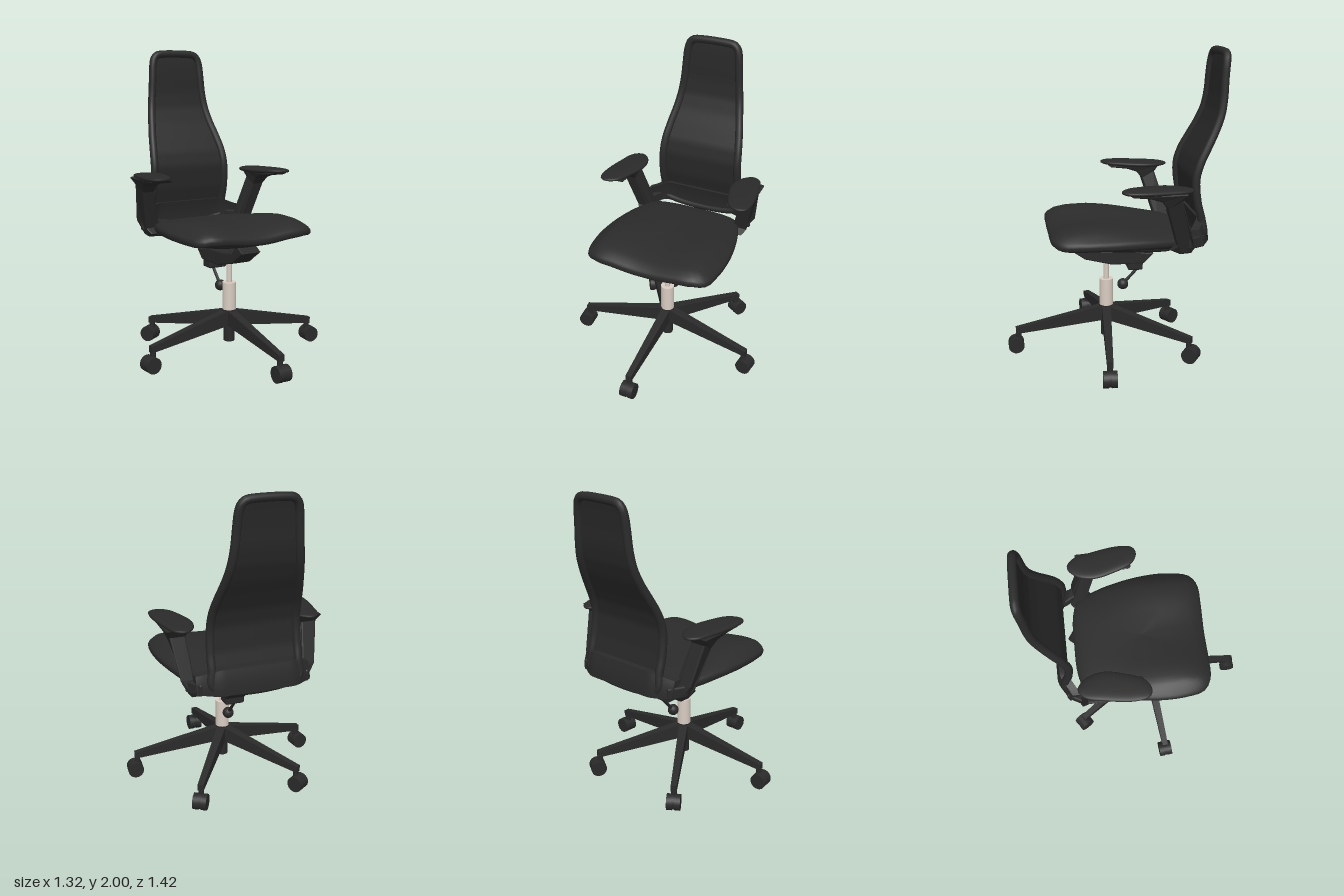
import * as THREE from 'three';
import { RoundedBoxGeometry } from 'three/addons/geometries/RoundedBoxGeometry.js';

const { lerp, clamp, smoothstep, degToRad } = THREE.MathUtils;

const mat = (name, color, side = THREE.FrontSide) => {
  const m = new THREE.MeshStandardMaterial({ color, side });
  m.name = name;
  return m;
};

// linear interpolation in rows of [key, value, value...], keys ascending
function lookup(rows, k, col = 1) {
  let i = 1;
  while (i < rows.length - 1 && k > rows[i][0]) i++;
  const [a, b] = [rows[i - 1], rows[i]];
  return lerp(a[col], b[col], clamp((k - a[0]) / (b[0] - a[0]), 0, 1));
}

// apply fn(vector) to every vertex
function warp(geo, fn) {
  const p = geo.attributes.position, v = new THREE.Vector3();
  for (let i = 0; i < p.count; i++) {
    fn(v.fromBufferAttribute(p, i));
    p.setXYZ(i, v.x, v.y, v.z);
  }
  geo.computeVertexNormals();
  return geo;
}

// copy of a geometry reflected in x, with its faces turned back outwards
function mirrored(geo) {
  const g = geo.index ? geo.toNonIndexed() : geo.clone();
  for (const key of ['position', 'normal']) {
    const a = g.attributes[key];
    for (let i = 0; i < a.count; i += 3) {
      const t = [0, 2, 1].map(k => [-a.getX(i + k), a.getY(i + k), a.getZ(i + k)]);
      t.forEach((q, k) => a.setXYZ(i + k, ...q));
    }
  }
  return g;
}

// cushion-like solid: outline in plan (anticlockwise from above), rim height, thickness above and below the rim
function padGeometry(outline, cx, cz, mid, up, down, rows = 28, cols = 80) {
  const curve = new THREE.CatmullRomCurve3(outline.map(([x, z]) => new THREE.Vector3(x, 0, z)), true);
  const rim = curve.getSpacedPoints(cols), pos = [], idx = [];
  for (let k = 0; k <= rows; k++) {
    const a = k / rows * Math.PI, c = Math.cos(a);
    const s = Math.pow(Math.max(Math.sin(a), 0), 0.6), v = Math.sign(c) * Math.pow(Math.abs(c), 0.75);
    for (let j = 0; j < cols; j++) {
      const x = cx + (rim[j].x - cx) * s, z = cz + (rim[j].z - cz) * s;
      pos.push(x, mid(x, z) + (v > 0 ? up : down) * v, z);
      if (k < rows) {
        const n = (j + 1) % cols, p = k * cols, q = p + cols;
        idx.push(p + j, q + j, q + n, p + j, q + n, p + n);
      }
    }
  }
  const g = new THREE.BufferGeometry();
  g.setAttribute('position', new THREE.Float32BufferAttribute(pos, 3));
  g.setIndex(idx);
  g.computeVertexNormals();
  return g;
}

// side profile of [z, y] points extruded across x
function profileGeometry(points, width, bevel = 0.008) {
  const shape = new THREE.Shape(points.map(([z, y]) => new THREE.Vector2(z, y)));
  const g = new THREE.ExtrudeGeometry(shape, {
    depth: width - 2 * bevel, bevelSize: bevel, bevelThickness: bevel, bevelOffset: -bevel, bevelSegments: 2 });
  return g.rotateY(-Math.PI / 2).translate(width / 2 - bevel, 0, 0);
}

export function createModel() {
  const black = mat('black plastic', 0x2a2a2a);
  const fabric = mat('seat fabric', 0x2b2b2b);
  const net = mat('back mesh', 0x282828, THREE.DoubleSide);
  const steel = mat('light metal', 0xdacdc2);
  const root = new THREE.Group();
  root.name = 'officeChair';
  const add = (name, geo, m = black, parent = root) => {
    const mesh = new THREE.Mesh(geo, m);
    mesh.name = name;
    parent.add(mesh);
  };
  const cyl = (r0, r1, y0, y1, n = 32) => new THREE.CylinderGeometry(r1, r0, y1 - y0, n).translate(0, (y0 + y1) / 2, 0);

  // five-legged base with twin-wheel casters
  const base = new THREE.Group();
  base.name = 'base';
  base.position.z = 0.053;
  root.add(base);
  add('hub', cyl(0.042, 0.046, 0.19, 0.305), black, base);
  add('hubTube', cyl(0.036, 0.036, 0.09, 0.2), black, base);
  add('gasColumn', cyl(0.045, 0.045, 0.3, 0.487), steel, base);
  add('pistonRod', cyl(0.018, 0.018, 0.48, 0.62), steel, base);
  for (const deg of [0, 84, 146.5, -146.5, -84]) {
    const leg = new THREE.Group();
    leg.name = 'leg';
    leg.rotation.y = degToRad(deg);
    base.add(leg);
    add('legBeam', warp(new THREE.BoxGeometry(1, 1, 1), v => {
      const t = v.z + 0.5, up = v.y > 0;
      v.set(v.x * (0.06 - 0.022 * t), up ? 0.302 - 0.13 * t : 0.2 - 0.07 * t, 0.02 + 0.59 * t);
    }), black, leg);
    add('casterStem', cyl(0.018, 0.018, 0.06, 0.15, 16).translate(0, 0, 0.592), black, leg);
    for (const s of [-1, 1])
      add('casterWheel', new THREE.CylinderGeometry(0.052, 0.052, 0.036, 28)
        .rotateZ(Math.PI / 2).translate(s * 0.026, 0.055, 0.609), black, leg);
    add('casterHood', new THREE.CylinderGeometry(0.05, 0.05, 0.03, 24)
      .rotateZ(Math.PI / 2).translate(0, 0.058, 0.609), black, leg);
  }

  // tilt mechanism and height lever
  add('tiltMechanism', profileGeometry([[0.325, 0.73], [0.25, 0.775], [0.2, 0.715], [0.1, 0.7], [-0.1, 0.69],
    [-0.255, 0.665], [-0.19, 0.6], [0.02, 0.6], [0.2, 0.645], [0.25, 0.68]], 0.14));
  add('tiltBlock', new RoundedBoxGeometry(0.13, 0.165, 0.1, 2, 0.012).translate(0, 0.635, -0.135));
  const lever = new THREE.LineCurve3(new THREE.Vector3(0, 0.57, -0.18), new THREE.Vector3(0, 0.44, -0.06));
  add('leverRod', new THREE.TubeGeometry(lever, 1, 0.01, 10));
  add('leverKnob', new THREE.SphereGeometry(0.037, 20, 14).translate(0, 0.44, -0.06));

  // seat cushion with a raised front and a hollow between the thighs
  const halfSeat = [[0.2, 0.438], [0.33, 0.432], [0.41, 0.385], [0.443, 0.25], [0.445, 0.08], [0.42, -0.1],
    [0.375, -0.27], [0.31, -0.4], [0.2, -0.438]];
  const seatLine = [[0, 0.435], ...halfSeat, [0, -0.445], ...halfSeat.map(([x, z]) => [-x, z]).reverse()];
  const seatRows = [[-0.45, 0.812], [-0.2, 0.83], [0, 0.848], [0.15, 0.856], [0.28, 0.854], [0.37, 0.845], [0.45, 0.822]];
  add('seatCushion', padGeometry(seatLine, 0, 0, (x, z) => {
    const front = smoothstep(z, -0.35, 0.2), r = Math.abs(x);
    return lookup(seatRows, z) + front * (0.024 * smoothstep(r, 0.02, 0.3) - 0.035 * smoothstep(r, 0.33, 0.45));
  }, 0.053, 0.075), fabric);
  add('seatPan', padGeometry(seatLine.map(([x, z]) => [x * 0.82, z * 0.82]), 0, 0,
    (x, z) => 0.765 + 0.085 * z + 0.25 * x * x, 0.034, 0.034, 16, 60));
  add('armCrossbar', new RoundedBoxGeometry(0.66, 0.05, 0.1, 2, 0.015).translate(0, 0.785, -0.36));

  // backrest: rows of height, depth position, half width
  const back = [[0.84, -0.53, 0.3], [0.95, -0.515, 0.305], [1.05, -0.489, 0.305], [1.2, -0.476, 0.3],
    [1.3, -0.502, 0.293], [1.4, -0.552, 0.276], [1.5, -0.604, 0.254], [1.6, -0.643, 0.236], [1.7, -0.66, 0.223],
    [1.82, -0.667, 0.213], [1.9, -0.674, 0.206], [1.945, -0.68, 0.193], [1.967, -0.683, 0.17], [1.974, -0.684, 0.135]];
  const R = 0.026;
  const side = s => back.map(([y, z, w]) => new THREE.Vector3(s * (w - R), y, z));
  const loop = new THREE.CatmullRomCurve3([...side(1), ...side(-1).reverse()], true);
  add('backFrame', new THREE.TubeGeometry(loop, 160, R, 12, true));
  add('backMesh', warp(new THREE.PlaneGeometry(2, 1, 12, 48), v => {
    const y = 0.86 + (v.y + 0.5) * 1.112;
    v.set(v.x * (lookup(back, y, 2) - R), y, lookup(back, y));
  }), net);

  // lower band of the back, with ends curling forward to the arms
  add('backBand', warp(new THREE.BoxGeometry(0.74, 0.15, 0.055, 32, 6, 2), v => {
    const k = smoothstep(Math.abs(v.x), 0.22, 0.4), t = v.y / 0.15 + 0.5;
    v.set(v.x, 0.8 + t * (0.155 - 0.05 * k), -0.547 + v.z + 0.025 * t * t + 0.075 * k);
  }));

  // arms: sloping post flared under the pad, pad, and bracket to the back, one for each side
  const post = warp(profileGeometry([[-0.02, 1.172], [-0.04, 1.158], [-0.15, 1.145], [-0.22, 1.12], [-0.257, 1.075],
    [-0.335, 0.82], [-0.3, 0.785], [-0.36, 0.755], [-0.43, 0.76], [-0.445, 0.79], [-0.425, 0.87],
    [-0.345, 1.12], [-0.375, 1.168]], 0.083), v => {
    const flare = 1 + 0.7 * smoothstep(v.y, 1.09, 1.17);
    v.x = v.x * flare + 0.392 + (v.y - 0.8) * 0.12 - 0.05 * smoothstep(0.88 - v.y, 0, 0.12);
  });
  const padLine = [[0.46, 0.025], [0.508, 0.005], [0.525, -0.08], [0.505, -0.25], [0.465, -0.4], [0.41, -0.432],
    [0.345, -0.38], [0.315, -0.27], [0.34, -0.14], [0.395, -0.01]];
  const pad = padGeometry(padLine, 0.42, -0.2, (x, z) => 1.184 + 0.025 * z, 0.019, 0.019, 16, 56);
  const bracket = new RoundedBoxGeometry(0.07, 0.075, 0.13, 2, 0.012)
    .rotateY(0.5).translate(0.352, 0.83, -0.45);
  for (const [name, geo] of [['armPost', post], ['armPad', pad], ['armBracket', bracket]]) {
    add(name + 'Left', geo);
    add(name + 'Right', mirrored(geo));
  }
  return root;
}
